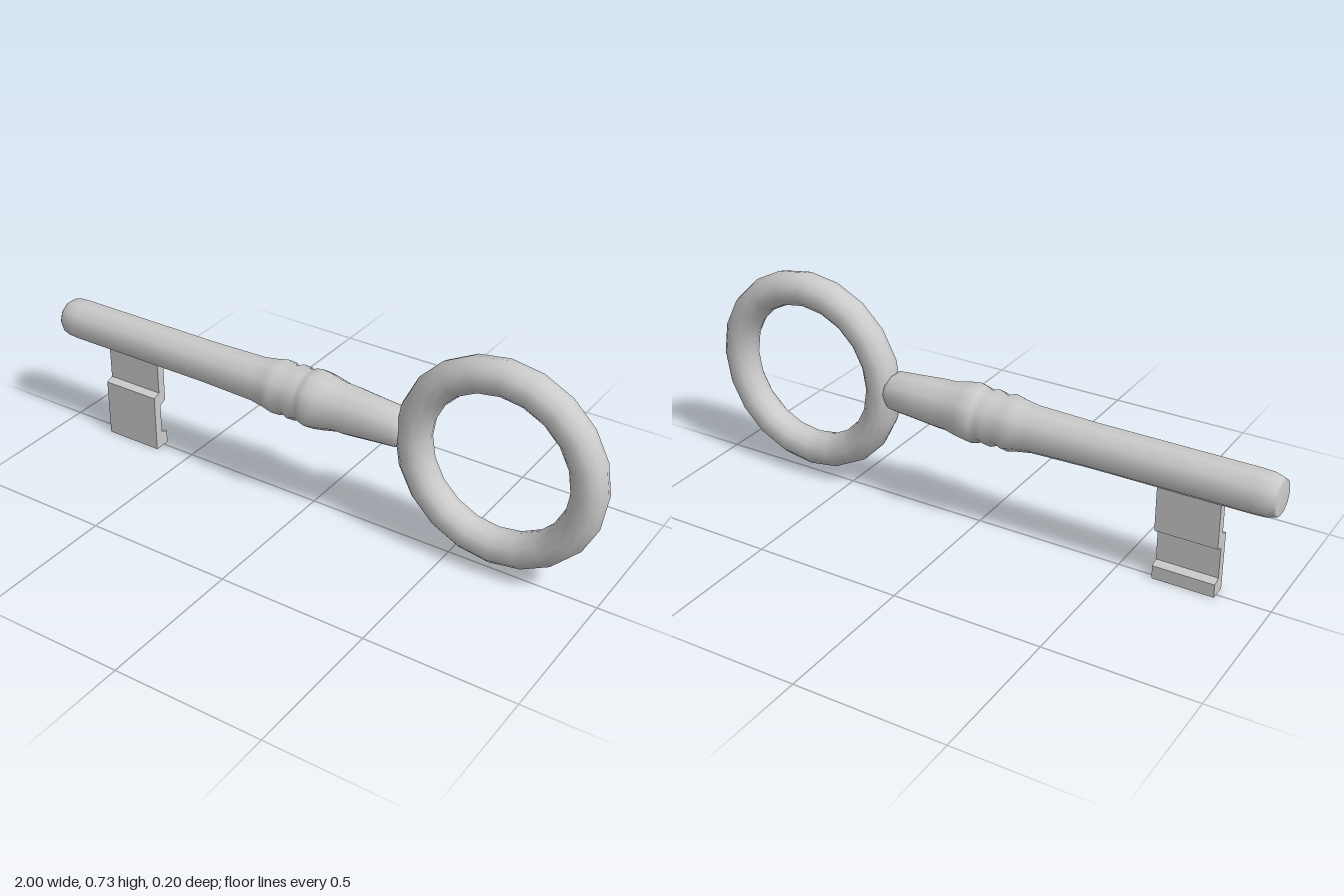
import * as THREE from 'three';

export function createModel() {
  const key = new THREE.Group();
  key.name = 'key';
  const grey = new THREE.MeshStandardMaterial({ color: 0xcccccc });
  const add = (name, geometry, x, y, z = 0, material = grey) => {
    const mesh = new THREE.Mesh(geometry, material);
    mesh.name = name;
    mesh.position.set(x, y, z);
    key.add(mesh);
    return mesh;
  };

  // Ring handle
  add('ringHandle', new THREE.TorusGeometry(0.29, 0.057, 12, 20), 0.652, 0.38);

  // Turned shaft with collars: [position along x, radius]
  const profile = [
    [-1, 0], [-1, 0.054], [-0.993, 0.06], [-0.965, 0.068], [-0.93, 0.07], [-0.4, 0.071],
    [-0.2, 0.076], [-0.15, 0.084], [-0.115, 0.092], [-0.085, 0.081], [-0.055, 0.093],
    [-0.03, 0.084], [-0.01, 0.092], [0.012, 0.098], [0.045, 0.093], [0.1, 0.081],
    [0.14, 0.08], [0.22, 0.073], [0.31, 0.066], [0.335, 0.048], [0.353, 0.02], [0.357, 0],
  ].map(([x, r]) => new THREE.Vector2(r, x));
  const shaft = new THREE.LatheGeometry(profile, 10);
  shaft.rotateZ(-Math.PI / 2);
  add('shaft', shaft, 0, 0.39);

  // Bit: stepped cross-section [z, y], extruded along the shaft
  const section = [
    [-0.018, 0], [0.038, 0], [0.038, 0.2], [0.012, 0.21], [0.012, 0.36],
    [-0.018, 0.36], [-0.018, 0.17], [0.008, 0.16], [0.008, 0.055], [-0.018, 0.045],
  ].map(([z, y]) => new THREE.Vector2(-z, y));
  const bit = new THREE.ExtrudeGeometry(new THREE.Shape(section), { depth: 0.205, bevelEnabled: false });
  bit.rotateY(Math.PI / 2);
  add('bit', bit, -0.825, 0);

  return key;
}
